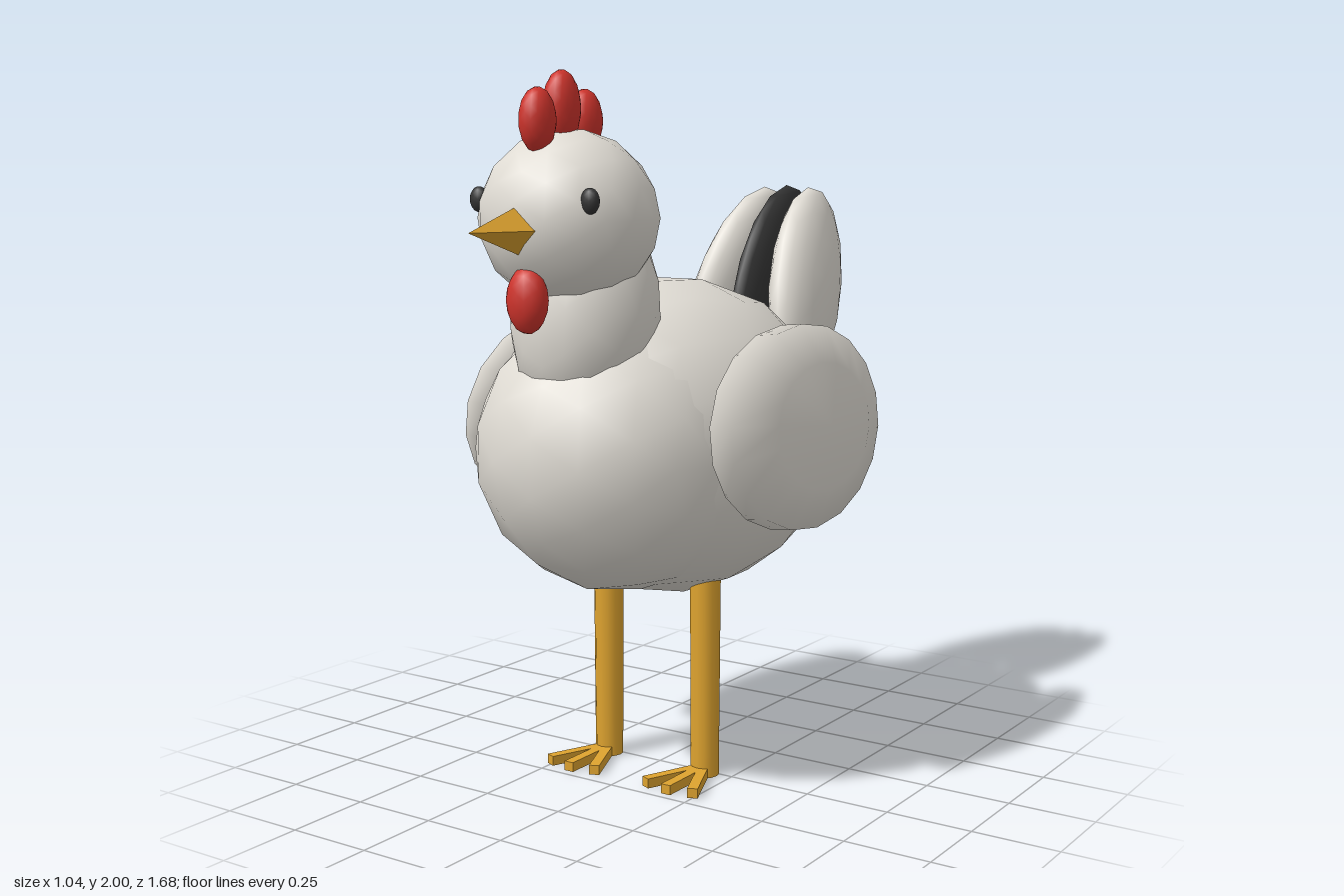
import * as THREE from 'three';

const mat = (name, color) => Object.assign(new THREE.MeshStandardMaterial({ color }), { name });

export function createModel() {
  const white = mat('white feathers', 0xe0dcd4);
  const dark = mat('dark feathers and eyes', 0x333333);
  const red = mat('red comb', 0xd0342c);
  const yellow = mat('yellow legs and beak', 0xdea32f);
  const model = new THREE.Group();
  model.name = 'hen';

  const add = (name, geometry, material, pos, rot = [0, 0, 0], parent = model) => {
    const mesh = new THREE.Mesh(geometry, material);
    mesh.name = name;
    mesh.position.set(...pos);
    mesh.rotation.set(...rot);
    parent.add(mesh);
    return mesh;
  };
  // Low-poly ellipsoid with smooth normals
  const blob = (r, detail = 2) => new THREE.IcosahedronGeometry(1, detail).scale(...r);

  // Body, chest, neck and head
  add('body', blob([0.46, 0.46, 0.61]), white, [0, 0.98, -0.03], [-0.1, 0, 0]);
  add('chest', blob([0.395, 0.4, 0.4]), white, [0, 0.97, 0.215]);
  add('neck', blob([0.205, 0.3, 0.2]), white, [0, 1.36, 0.36], [-0.15, 0, 0]);
  add('head', blob([0.245, 0.235, 0.235]), white, [0, 1.615, 0.43]);

  // Faceted four-sided beak
  const beak = new THREE.ConeGeometry(0.07, 0.22, 4).toNonIndexed();
  beak.computeVertexNormals();
  add('beak', beak, yellow, [0, 1.59, 0.73], [Math.PI / 2, 0, 0]);

  // Comb of three lobes, and the wattle below the beak
  for (const [y, z, ry, rz] of [[1.868, 0.56, 0.085, 0.053], [1.9, 0.457, 0.1, 0.057], [1.868, 0.357, 0.085, 0.053]])
    add('combLobe', blob([0.047, ry, rz]), red, [0, y, z]);
  add('wattle', blob([0.06, 0.088, 0.046]), red, [0, 1.41, 0.61]);

  // Tail: a dark middle feather between two white ones
  add('middleTailFeather', blob([0.062, 0.333, 0.183]), dark, [0, 1.38, -0.622], [-0.5, 0, 0]);

  for (const s of [1, -1]) {
    const side = s > 0 ? 'left' : 'right';
    add(side + 'TailFeather', blob([0.085, 0.33, 0.18]), white, [s * 0.125, 1.38, -0.622], [-0.5, 0, s * 0.15]);
    add(side + 'Eye', blob([0.027, 0.034, 0.02]), dark, [s * 0.18, 1.665, 0.58]);

    // Wing: flattened ellipsoid with its pole pointing sideways
    const wing = new THREE.SphereGeometry(1, 18, 5).rotateZ(Math.PI / 2).scale(0.105, 0.3, 0.437);
    add(side + 'Wing', wing, white, [s * 0.415, 1.03, -0.08], [0, 0, s * 0.1]);

    // Leg with three splayed toes
    const leg = new THREE.Group();
    leg.name = side + 'Leg';
    leg.position.set(s * 0.17, 0, 0.02);
    model.add(leg);
    add('shank', new THREE.CylinderGeometry(0.044, 0.041, 0.6, 12), yellow, [0, 0.3, 0], [0, 0, 0], leg);
    for (const a of [-0.4, 0, 0.4]) {
      const toe = new THREE.BoxGeometry(0.03, 0.028, 0.205).translate(0, 0.014, 0.1025);
      add('toe', toe, yellow, [0, 0, 0], [0, a, 0], leg);
    }
  }
  return model;
}
